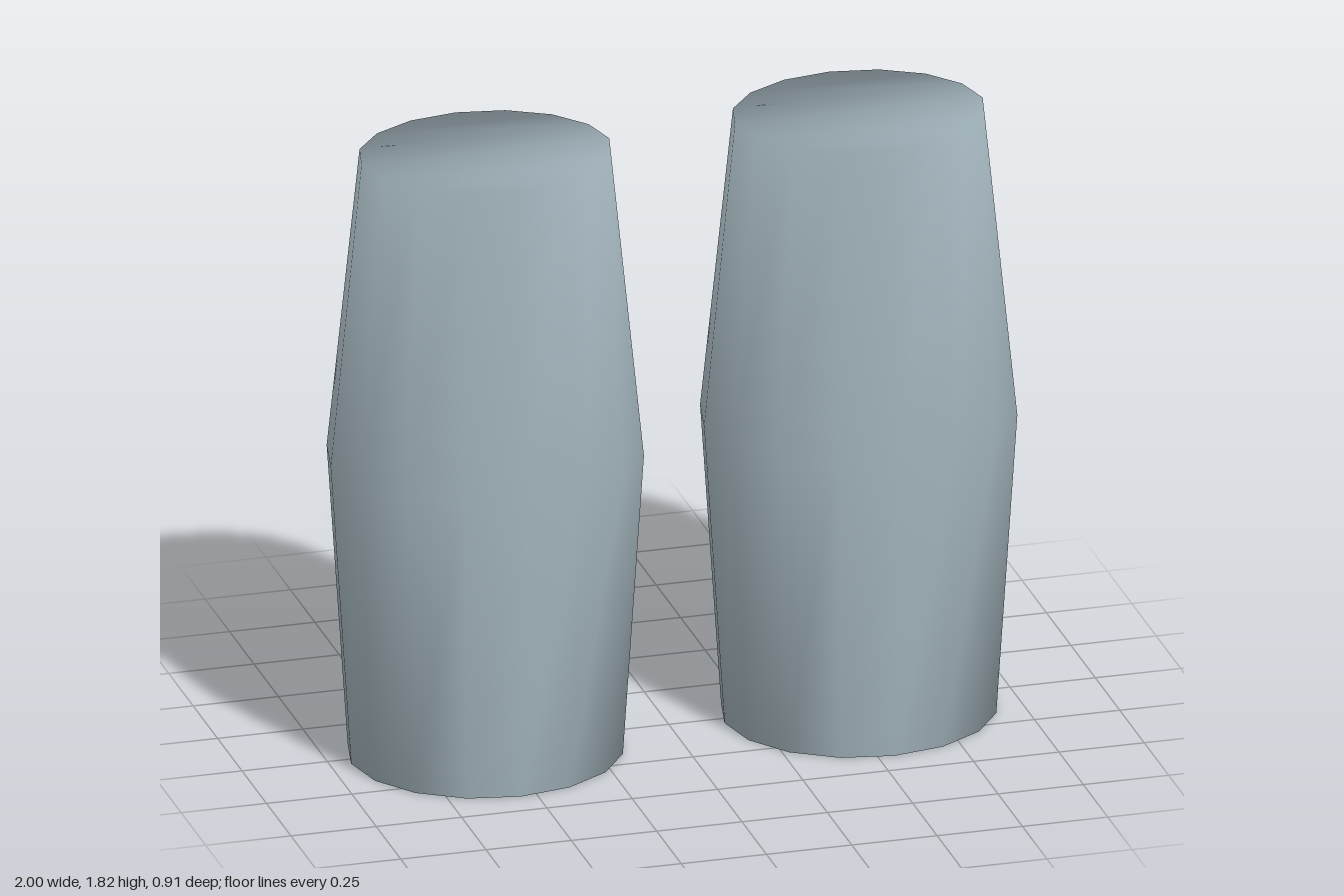
import * as THREE from 'three';

const SIDES = 16;

// Barrel-shaped shell: three oval rings, smooth-shaded over its flat ends
function shellGeometry() {
  const rings = [
    { y: 0, rx: 0.393, rz: 0.365 },
    { y: 0.91, rx: 0.453, rz: 0.422 },
    { y: 1.82, rx: 0.363, rz: 0.302 },
  ];
  const positions = [];
  const index = [];
  for (const { y, rx, rz } of rings) {
    for (let i = 0; i < SIDES; i++) {
      const a = (i / SIDES) * Math.PI * 2;
      positions.push(rx * Math.sin(a), y, rz * Math.cos(a));
    }
  }
  // Side walls
  for (let r = 0; r < rings.length - 1; r++) {
    for (let i = 0; i < SIDES; i++) {
      const j = (i + 1) % SIDES;
      const a = r * SIDES + i, b = r * SIDES + j;
      index.push(a, b, b + SIDES, a, b + SIDES, a + SIDES);
    }
  }
  // End faces, filled in rows from front to back
  const top = (rings.length - 1) * SIDES;
  const addEnd = (a, b, c) => {
    index.push(top + a, top + b, top + c);
    index.push(a, c, b);
  };
  for (let k = 0; k < SIDES / 2; k++) {
    const left = SIDES - k, nextLeft = SIDES - k - 1;
    if (k + 1 !== nextLeft) addEnd(k, k + 1, nextLeft);
    if (k > 0) addEnd(k, nextLeft, left);
  }
  const geometry = new THREE.BufferGeometry();
  geometry.setAttribute('position', new THREE.Float32BufferAttribute(positions, 3));
  geometry.setIndex(index);
  geometry.computeVertexNormals();
  return geometry;
}

// Strap: round cord arching over the back, its ends sinking into the shell
function strapGeometry() {
  const half = [[0.30, -0.222], [0.198, -0.30], [0.128, -0.373], [0.064, -0.412]];
  const points = [
    ...half.map(([x, z]) => new THREE.Vector3(-x, 0, z)),
    new THREE.Vector3(0, 0, -0.424),
    ...half.slice().reverse().map(([x, z]) => new THREE.Vector3(x, 0, z)),
  ];
  return new THREE.TubeGeometry(new THREE.CatmullRomCurve3(points), 32, 0.035, 12, false);
}

export function createModel() {
  const model = new THREE.Group();
  model.name = 'pairOfGuards';
  const shellMaterial = new THREE.MeshStandardMaterial({ color: 0x9fb0b8 });
  const strapMaterial = new THREE.MeshStandardMaterial({ color: 0xb8935a });
  const shell = shellGeometry();
  const strap = strapGeometry();

  for (const side of [-1, 1]) {
    const guard = new THREE.Group();
    guard.name = side > 0 ? 'leftGuard' : 'rightGuard';
    guard.position.x = side * 0.547;

    const body = new THREE.Mesh(shell, shellMaterial);
    body.name = 'shell';
    body.position.z = 0.034;
    guard.add(body);

    // Four evenly spaced straps
    for (let i = 1; i <= 4; i++) {
      const cord = new THREE.Mesh(strap, strapMaterial);
      cord.name = 'strap' + i;
      cord.position.y = i * 0.365;
      guard.add(cord);
    }
    model.add(guard);
  }
  return model;
}
